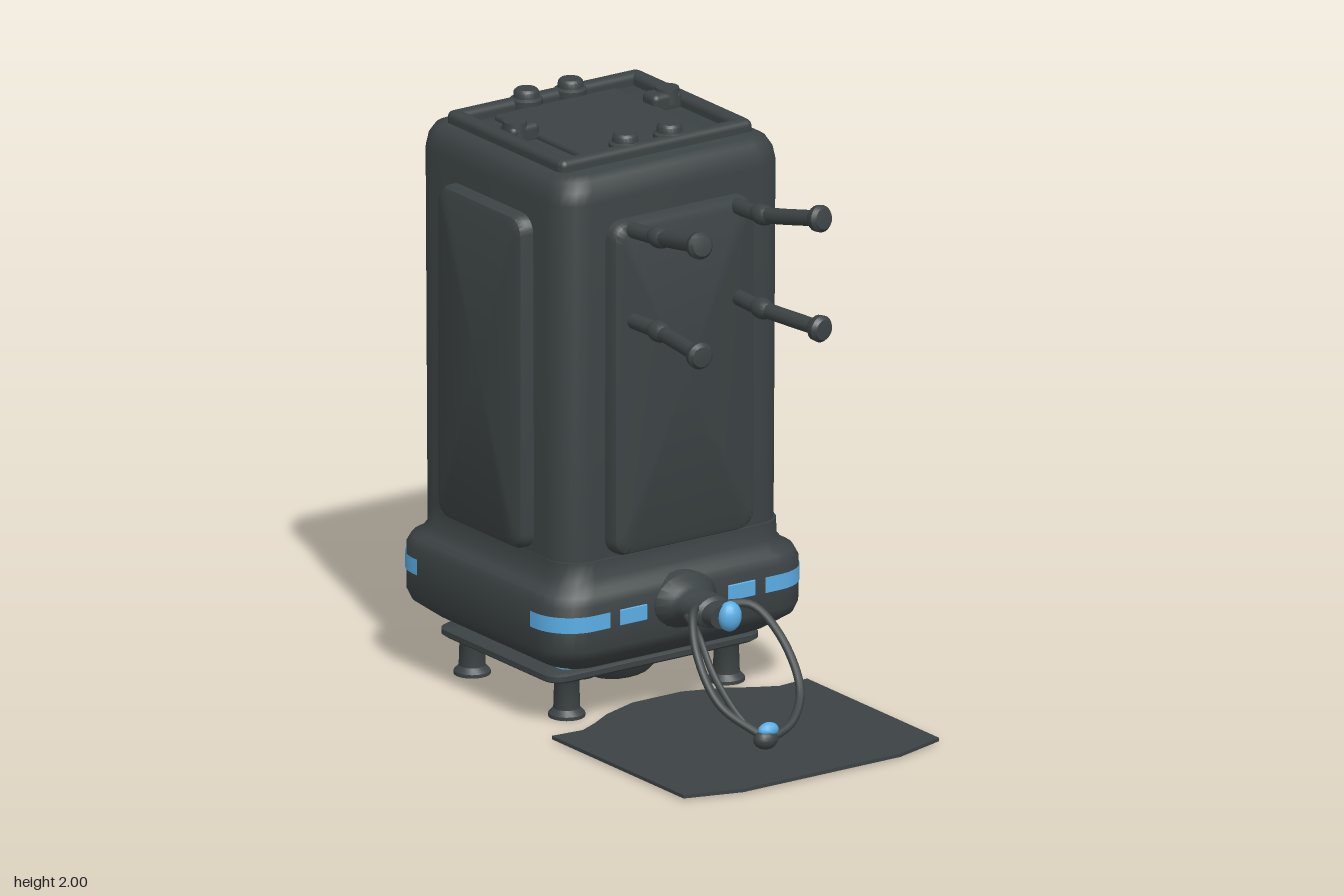
import * as THREE from 'three';
import { toCreasedNormals } from 'three/addons/utils/BufferGeometryUtils.js';
import { RoundedBoxGeometry } from 'three/addons/geometries/RoundedBoxGeometry.js';

const V = (x, y, z) => new THREE.Vector3(x, y, z);

// Rounded-rectangle outline, anticlockwise from +x towards +z
function outline(hx, hz, r, n = 6) {
  const pts = [];
  [[1, 1], [-1, 1], [-1, -1], [1, -1]].forEach(([sx, sz], q) => {
    for (let i = 0; i <= n; i++) {
      const a = (q + i / n) * Math.PI / 2;
      pts.push([sx * (hx - r) + r * Math.cos(a), sz * (hz - r) + r * Math.sin(a)]);
    }
  });
  return pts;
}

// Closed solid through rounded-rectangle sections [y, halfX, halfZ, radius]
function loft(sections) {
  const pos = [], idx = [];
  let n = 0;
  for (const [y, hx, hz, r] of sections) {
    const ring = outline(hx, hz, r);
    n = ring.length;
    ring.forEach(([x, z]) => pos.push(x, y, z));
  }
  const last = sections.length - 1, c = (last + 1) * n;
  pos.push(0, sections[0][0], 0, 0, sections[last][0], 0);
  for (let j = 0; j < n; j++) {
    const k = (j + 1) % n;
    for (let i = 0; i < last; i++) {
      const a = i * n + j, b = i * n + k;
      idx.push(a, a + n, b, b, a + n, b + n);
    }
    idx.push(c, j, k, c + 1, last * n + k, last * n + j);
  }
  const g = new THREE.BufferGeometry();
  g.setAttribute('position', new THREE.Float32BufferAttribute(pos, 3));
  g.setIndex(idx);
  return toCreasedNormals(g, 0.7);
}

// Upright ribbon following a floor path of [x, z]
function ribbon(path, y0, y1) {
  const pos = [], idx = [];
  path.forEach(([x, z], i) => {
    pos.push(x, y0, z, x, y1, z);
    if (i) idx.push(2 * i - 2, 2 * i, 2 * i - 1, 2 * i, 2 * i + 1, 2 * i - 1);
  });
  const g = new THREE.BufferGeometry();
  g.setAttribute('position', new THREE.Float32BufferAttribute(pos, 3));
  g.setIndex(idx);
  g.computeVertexNormals();
  return g;
}

const tube = (pts, r, seg = 32) =>
  new THREE.TubeGeometry(new THREE.CatmullRomCurve3(pts), seg, r, 10);
const lathe = (pts, seg = 20) =>
  toCreasedNormals(new THREE.LatheGeometry(pts.map(p => new THREE.Vector2(...p)), seg), 0.7);

export function createModel() {
  const model = new THREE.Group();
  const dark = new THREE.MeshStandardMaterial({ color: 0x3c4344 });
  dark.name = 'charcoal';
  const blue = new THREE.MeshStandardMaterial({ color: 0x5aaee6, side: THREE.DoubleSide });
  blue.name = 'lightBlue';
  const add = (name, geo, mat = dark, x = 0, y = 0, z = 0, parent = model) => {
    const m = new THREE.Mesh(geo, mat);
    m.name = name;
    m.position.set(x, y, z);
    parent.add(m);
    return m;
  };

  // Tall cabinet and wide rounded base
  add('cabinet', loft([
    [0.45, 0.45, 0.435, 0.11], [1.84, 0.455, 0.44, 0.11], [1.885, 0.448, 0.433, 0.11],
    [1.915, 0.43, 0.415, 0.1], [1.93, 0.4, 0.385, 0.08],
  ]), dark, 0, 0, -0.395);
  add('base', loft([
    [0.2, 0.41, 0.38, 0.1], [0.215, 0.44, 0.41, 0.11], [0.265, 0.505, 0.475, 0.13],
    [0.3, 0.52, 0.49, 0.14], [0.455, 0.52, 0.49, 0.14], [0.485, 0.508, 0.478, 0.14],
    [0.5, 0.48, 0.455, 0.13], [0.53, 0.458, 0.44, 0.12], [0.59, 0.452, 0.436, 0.11],
  ]), dark, 0, 0, -0.385);

  // Raised panels on the four walls
  const panel = hw => loft([
    [-0.06, hw, 0.585, 0.06], [0.025, hw, 0.585, 0.06],
    [0.045, hw - 0.01, 0.575, 0.055], [0.055, hw - 0.035, 0.55, 0.04],
  ]).rotateX(Math.PI / 2);
  [['frontPanel', 0.29, 0, 0.045, 0], ['backPanel', 0.29, 0, -0.83, Math.PI],
    ['leftPanel', 0.245, 0.455, -0.385, Math.PI / 2], ['rightPanel', 0.245, -0.455, -0.385, -Math.PI / 2],
  ].forEach(([name, hw, x, z, ry]) => { add(name, panel(hw), dark, x, 1.185, z).rotation.y = ry; });

  // Light strips: wrapped round the base corners, and two short ones in front
  const hx = 0.524, hz = 0.494, r = 0.144;
  for (const sx of [-1, 1]) {
    for (const sz of [-1, 1]) {
      const path = [[sx * hx, sz * 0.325]];
      for (let i = 0; i <= 8; i++) {
        const a = i / 8 * Math.PI / 2;
        path.push([sx * (hx - r + r * Math.cos(a)), sz * (hz - r + r * Math.sin(a))]);
      }
      path.push([sx * (sz > 0 ? 0.315 : 0.09), sz * hz]);
      if (sx * sz > 0) path.reverse();
      add('cornerLight', ribbon(path, 0.37, 0.425), blue, 0, 0, -0.385);
    }
    add('frontLight', new RoundedBoxGeometry(0.11, 0.055, 0.008, 2, 0.003), blue, sx * 0.22, 0.3975, 0.106);
  }

  // Roof frame, centre plate, clamps and knobs
  const roof = new THREE.Group();
  roof.name = 'roof';
  roof.position.set(0, 0, -0.4);
  model.add(roof);
  for (const s of [-1, 1]) {
    add('roofRail', new RoundedBoxGeometry(0.78, 0.07, 0.055, 3, 0.022), dark, 0, 1.935, s * 0.31, roof);
    add('roofRail', new RoundedBoxGeometry(0.055, 0.07, 0.66, 3, 0.022), dark, s * 0.365, 1.935, 0, roof);
    add('roofClamp', new RoundedBoxGeometry(0.12, 0.07, 0.08, 3, 0.02), dark, s * 0.29, 1.95, -0.05, roof);
    add('clampKnob', new THREE.CylinderGeometry(0.04, 0.045, 0.05, 18), dark, s * 0.31, 1.97, -0.05, roof);
    for (const t of [-0.295, 0.275]) {
      add('roofKnob', lathe([[0.055, 1.92], [0.055, 1.965], [0.044, 1.972], [0.042, 1.992], [0.034, 2], [0, 2]]),
        dark, s * 0.09, 0, t, roof);
    }
  }
  add('roofPlate', new RoundedBoxGeometry(0.5, 0.05, 0.52, 3, 0.015), dark, 0, 1.925, 0, roof);

  // Four front pegs with swollen ends
  for (const s of [-1, 1]) {
    for (const [y0, ym, y1] of [[1.74, 1.755, 1.81], [1.425, 1.425, 1.425]]) {
      const a = V(s * 0.215, y0, 0.07), m = V(s * 0.21, ym, 0.24), b = V(s * 0.245, y1, 0.52);
      add('peg', tube([a, m, b], 0.027));
      add('pegCollar', new THREE.SphereGeometry(0.036, 14, 10), dark, m.x, m.y, m.z).scale.z = 1.5;
      const head = add('pegHead', lathe([[0, -0.04], [0.03, -0.03], [0.044, -0.012], [0.046, 0.01], [0.035, 0.024], [0, 0.028]]),
        dark, b.x, b.y, b.z);
      head.quaternion.setFromUnitVectors(V(0, 1, 0), b.clone().sub(m).normalize());
    }
  }

  // Front nozzle with a glowing tip and a looped cable
  add('nozzle', lathe([[0.1, 0], [0.1, 0.08], [0.07, 0.12], [0.06, 0.14], [0.058, 0.24], [0.045, 0.25], [0.043, 0.3], [0, 0.3]])
    .rotateX(Math.PI / 2).scale(1.25, 0.95, 1), dark, -0.01, 0.41, 0.03);
  add('nozzleTip', new THREE.SphereGeometry(0.045, 16, 12), blue, 0.01, 0.41, 0.335).scale.set(0.95, 1.15, 0.8);
  add('cable', tube([V(-0.05, 0.43, 0.24), V(-0.1, 0.43, 0.28), V(-0.155, 0.32, 0.38), V(-0.14, 0.17, 0.49), V(-0.04, 0.07, 0.59)], 0.015));
  add('cable', tube([V(-0.09, 0.4, 0.23), V(-0.12, 0.38, 0.33), V(-0.13, 0.25, 0.45), V(-0.08, 0.11, 0.55), V(-0.02, 0.06, 0.6)], 0.012));
  add('cable', tube([V(0.05, 0.42, 0.24), V(0.14, 0.41, 0.28), V(0.185, 0.32, 0.38), V(0.18, 0.17, 0.5), V(0.09, 0.09, 0.58), V(-0.02, 0.06, 0.61)], 0.015));
  add('cablePlug', new THREE.SphereGeometry(0.035, 14, 10), dark, -0.03, 0.06, 0.6).scale.x = 1.3;
  add('plugLight', new THREE.SphereGeometry(0.026, 12, 8), blue, -0.02, 0.09, 0.6).scale.x = 1.5;

  // Thin floor mat with clipped front corners and cut-outs at the front feet
  const mat = new THREE.Shape([
    [-0.52, 0.05], [-0.52, 0.81], [-0.32, 0.87], [0.32, 0.87], [0.52, 0.81], [0.52, 0.05],
    [0.4, 0.06], [0.32, 0.02], [0.24, -0.03], [0.1, -0.08], [-0.1, -0.08], [-0.24, -0.03], [-0.32, 0.02], [-0.4, 0.06],
  ].map(([x, z]) => new THREE.Vector2(x, z)));
  add('floorMat', new THREE.ExtrudeGeometry(mat, { depth: 0.012, bevelEnabled: false }).rotateX(Math.PI / 2), dark, 0, 0.018, 0.01);

  // Chassis plates and feet
  add('chassisPlate', loft([
    [0.14, 0.42, 0.335, 0.06], [0.148, 0.43, 0.345, 0.06], [0.166, 0.43, 0.345, 0.06], [0.174, 0.42, 0.335, 0.06],
  ]), dark, 0, 0, -0.4);
  add('chassisCore', loft([[0.165, 0.26, 0.24, 0.06], [0.21, 0.3, 0.28, 0.06]]), dark, 0, 0, -0.4);
  for (const x of [-0.325, 0.325]) {
    for (const z of [-0.13, -0.675]) {
      add('foot', lathe([[0, 0], [0.062, 0], [0.062, 0.012], [0.045, 0.03], [0.042, 0.12], [0.055, 0.145]]), dark, x, 0, z);
      add('footLight', new THREE.CylinderGeometry(0.04, 0.04, 0.04, 18), blue, x, 0.188, z);
    }
  }

  // Underside funnel, small light and trailing hose
  const funnel = add('funnel', lathe([[0, -0.07], [0.11, -0.07], [0.13, -0.05], [0.17, 0.06], [0.17, 0.08]]), dark, 0.07, 0.09, -0.4);
  funnel.rotation.z = 0.12;
  add('underLight', new RoundedBoxGeometry(0.08, 0.035, 0.08, 2, 0.012), blue, -0.21, 0.1, -0.3);
  add('underCable', tube([V(-0.28, 0.13, -0.3), V(-0.18, 0.08, -0.28), V(-0.06, 0.05, -0.34), V(0.05, 0.06, -0.4)], 0.02));
  add('hose', tube([V(0.06, 0.06, -0.45), V(0.1, 0.03, -0.6), V(0.14, 0.06, -0.74), V(0.16, 0.13, -0.84), V(0.165, 0.19, -0.87)], 0.02));
  add('hoseEnd', new THREE.SphereGeometry(0.02, 12, 8), dark, 0.165, 0.19, -0.87);

  return model;
}
